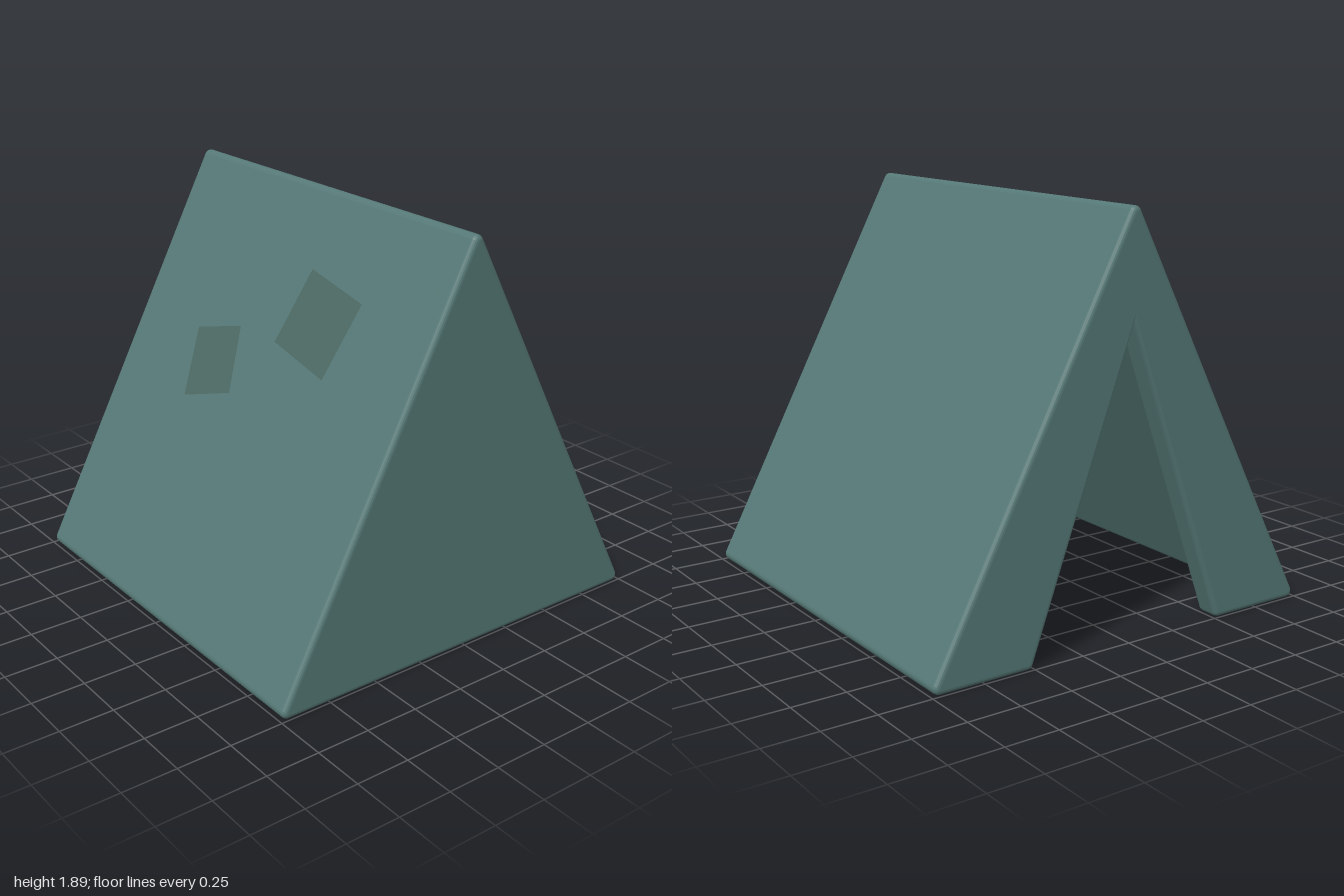
import * as THREE from 'three';

const W = 1.01, H = 1.925, T = 0.12; // half width, ridge height (before rounding), wall thickness
const R = 0.03, BEVEL = 0.024;
const SLOPE = H / W;

// Polygon outline with each corner [x, y, radius] replaced by an arc
function roundedShape(corners) {
  const out = [];
  const n = corners.length;
  corners.forEach(([x, y, r = R], i) => {
    const p = new THREE.Vector2(x, y);
    if (r === 0) { out.push(p); return; }
    const toward = ([cx, cy]) => new THREE.Vector2(cx, cy).sub(p).normalize();
    const a = toward(corners[(i + n - 1) % n]);
    const b = toward(corners[(i + 1) % n]);
    const half = Math.acos(a.dot(b)) / 2;
    const d = r / Math.tan(half);
    const centre = a.clone().add(b).normalize().multiplyScalar(r / Math.sin(half)).add(p);
    const start = a.clone().multiplyScalar(d).add(p).sub(centre).angle();
    const end = b.clone().multiplyScalar(d).add(p).sub(centre).angle();
    const sweep = Math.atan2(Math.sin(end - start), Math.cos(end - start));
    for (let k = 0; k <= 6; k++) {
      const t = start + sweep * k / 6;
      out.push(new THREE.Vector2(centre.x + r * Math.cos(t), centre.y + r * Math.sin(t)));
    }
  });
  return new THREE.Shape(out);
}

export function createModel() {
  const tent = new THREE.Group();
  tent.name = 'tent';
  const canvas = new THREE.MeshStandardMaterial({ color: 0x557876 });
  const patchCloth = new THREE.MeshStandardMaterial({ color: 0x4c6863, side: THREE.DoubleSide });

  const add = (name, geometry, material = canvas) => {
    const mesh = new THREE.Mesh(geometry, material);
    mesh.name = name;
    tent.add(mesh);
  };

  // Two sloping sides as one folded sheet
  const wi = W - T * Math.hypot(1, SLOPE) / SLOPE;
  const sheet = roundedShape([[W, 0], [0, H], [-W, 0], [-wi, 0], [0, wi * SLOPE, 0], [wi, 0]]);
  const length = 2 * (1 - BEVEL);
  add('slopingSides', new THREE.ExtrudeGeometry(sheet, { depth: length, bevelEnabled: false })
    .translate(0, 0, -length / 2));

  // End walls with softened edges
  const wall = (name, corners, z) => add(name, new THREE.ExtrudeGeometry(roundedShape(corners), {
    depth: T - 2 * BEVEL, bevelThickness: BEVEL, bevelSize: BEVEL, bevelOffset: -BEVEL, bevelSegments: 5,
  }).translate(0, 0, z + BEVEL));
  wall('frontWall', [[-W, 0], [W, 0], [0, H]], 1 - T);
  wall('backWallWithDoorway',
    [[-W, 0], [-0.51, 0], [0, 1.41, 0], [0.51, 0], [W, 0], [0, H]], -1);

  // Cloth patches lying on the right-hand slope, corners given as [x, z]
  const patches = [
    [[-0.55, -0.41], [-0.40, -0.50], [-0.36, -0.20], [-0.50, -0.10]],
    [[-0.36, 0.07], [-0.19, 0.13], [-0.22, 0.52], [-0.39, 0.46]],
  ];
  patches.forEach((corners, i) => {
    const shape = new THREE.Shape(corners.map(([x, z]) => new THREE.Vector2(x, -z)));
    const geometry = new THREE.ShapeGeometry(shape).rotateX(-Math.PI / 2);
    const pos = geometry.attributes.position;
    for (let k = 0; k < pos.count; k++) pos.setY(k, H + SLOPE * pos.getX(k) + 0.01);
    geometry.computeVertexNormals();
    add(`patch${i + 1}`, geometry, patchCloth);
  });

  return tent;
}
